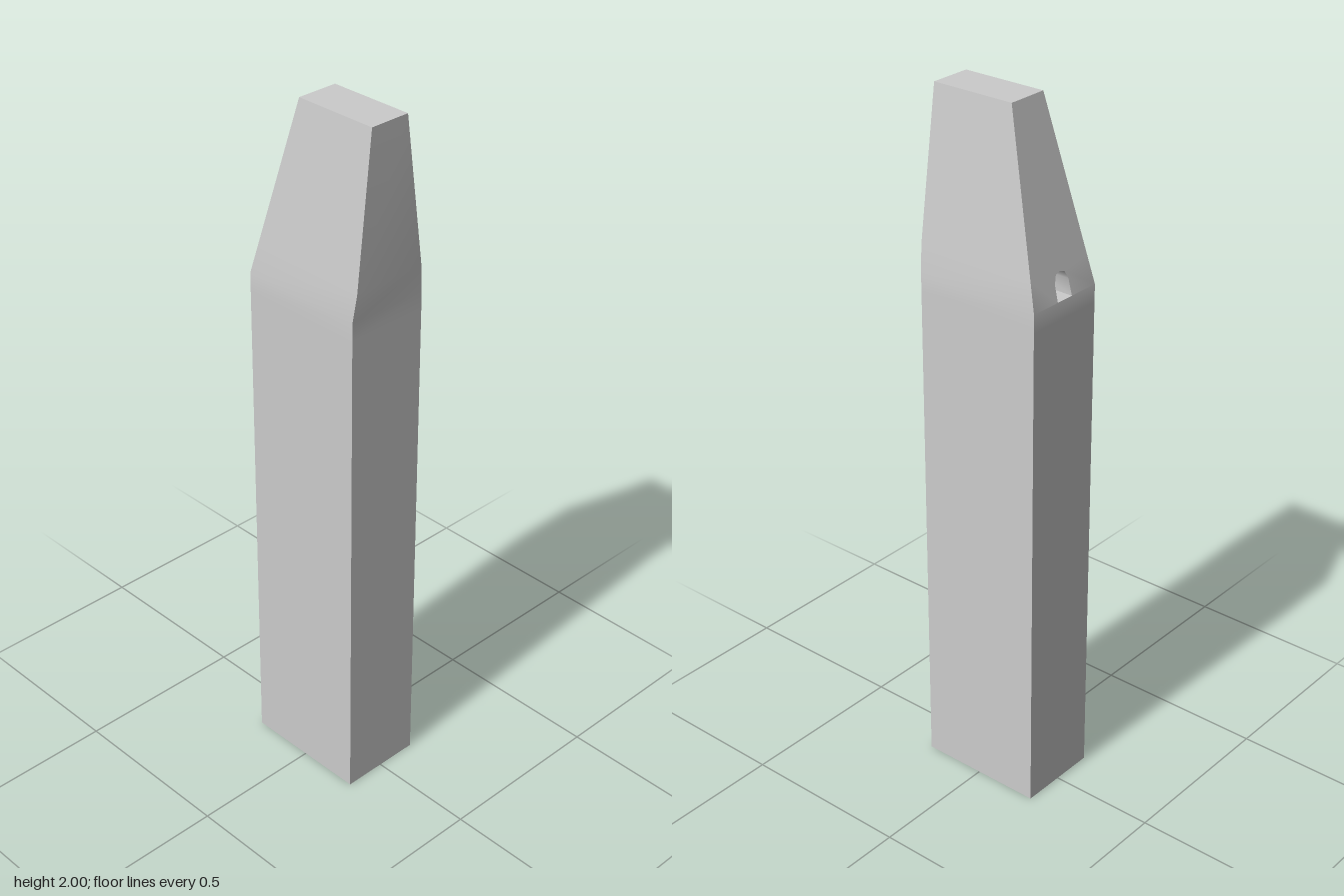
import * as THREE from 'three';
import { mergeGeometries, toCreasedNormals } from 'three/addons/utils/BufferGeometryUtils.js';

const SHOULDER = 1.5, BAND = 1.58, TOP = 2;
const taper = y => Math.max(0, (y - SHOULDER) / (TOP - SHOULDER));
const halfWidth = y => 0.122 - 0.062 * taper(y);
const backZ = y => -0.19 + 0.124 * taper(y);

// Flat four-cornered face, corners counter-clockwise from outside
function quad(a, b, c, d) {
  const g = new THREE.BufferGeometry();
  g.setAttribute('position', new THREE.Float32BufferAttribute([a, b, c, a, c, d].flat(), 3));
  return g;
}

// Flat shape turned to face the back, with its depth given by height
function backPanel(points, depth) {
  const g = new THREE.ShapeGeometry(new THREE.Shape(points.map(p => new THREE.Vector2(...p)))).toNonIndexed();
  g.deleteAttribute('uv');
  g.deleteAttribute('normal');
  const p = g.attributes.position;
  for (let i = 0; i < p.count; i++) p.setXYZ(i, -p.getX(i), p.getY(i), depth(p.getY(i)));
  return g;
}

function part(name, faces, crease) {
  const mesh = new THREE.Mesh(
    toCreasedNormals(mergeGeometries(faces), crease),
    new THREE.MeshStandardMaterial({ color: 0xcccccc }));
  mesh.name = name;
  return mesh;
}

export function createModel() {
  const group = new THREE.Group();
  group.name = 'post';

  // Arched socket outline, from lower left over the top to lower right
  const arch = [[-0.028, 1.5], [-0.027, 1.545], [-0.017, 1.567], [0, 1.572],
    [0.017, 1.567], [0.027, 1.545], [0.028, 1.5]];

  // Body: stacked rectangular rings, tapering above the shoulder
  const rings = [[0, 0.184], [1.45, 0.184], [SHOULDER, 0.184], [BAND, 0.19], [TOP, 0.183]]
    .map(([y, front]) => {
      const w = halfWidth(y), b = backZ(y);
      return [[-w, y, front], [w, y, front], [w, y, b], [-w, y, b]];
    });
  const body = [quad(...rings[0].slice().reverse()), quad(...rings[4])];
  for (let r = 0; r < 4; r++) {
    for (let i = 0; i < 4; i++) {
      if (r === 2 && i === 2) continue; // the band with the socket opening
      const j = (i + 1) % 4;
      body.push(quad(rings[r][i], rings[r][j], rings[r + 1][j], rings[r + 1][i]));
    }
  }
  const w0 = halfWidth(SHOULDER), w1 = halfWidth(BAND);
  body.push(backPanel([[-w0, SHOULDER], ...arch, [w0, SHOULDER], [w1, BAND], [-w1, BAND]], backZ));
  group.add(part('body', body, 0.5));

  // Socket: walls, floor and end of the blind hole in the back
  const end = -0.07;
  const socket = arch.map(([x, y], k) => {
    const [u, v] = arch[(k + 1) % arch.length];
    return quad([x, y, backZ(y)], [u, v, backZ(v)], [u, v, end], [x, y, end]);
  });
  socket.push(backPanel(arch, () => end));
  group.add(part('socket', socket, 0.9));

  return group;
}
